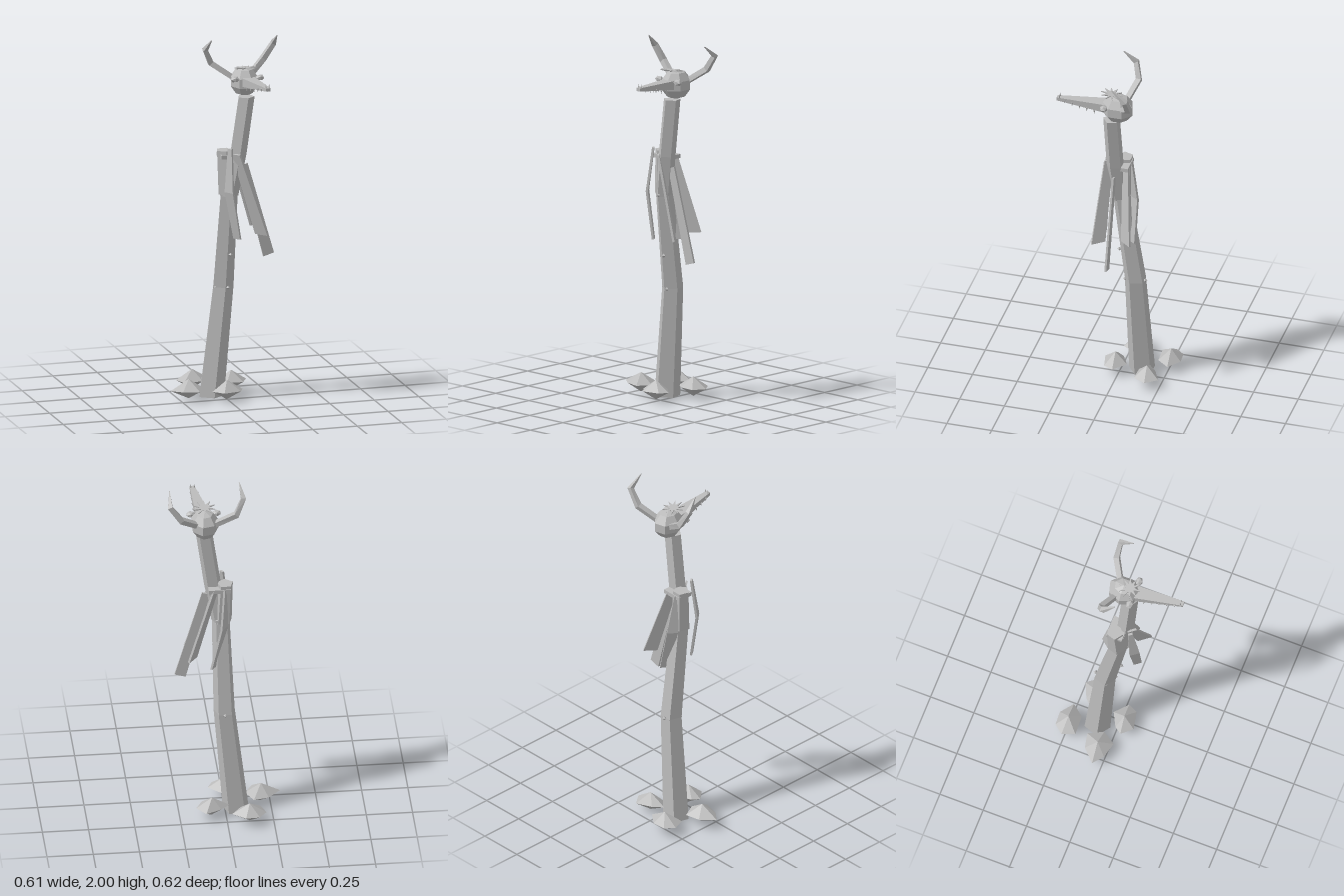
import * as THREE from 'three';

const V = (a) => new THREE.Vector3(...a);

// Closed faceted solid through rings of equal point count
function loft(rings) {
  const n = rings[0].length, tris = [];
  const centre = (r) => r.reduce((s, p) => s.add(p), new THREE.Vector3()).divideScalar(n);
  const first = rings[0], last = rings[rings.length - 1];
  const c0 = centre(first), c1 = centre(last);
  for (let j = 0; j < n; j++) {
    const k = (j + 1) % n;
    tris.push([c0, first[j], first[k]], [c1, last[k], last[j]]);
    for (let i = 0; i < rings.length - 1; i++) {
      const a = rings[i], b = rings[i + 1];
      tris.push([a[j], b[j], b[k]], [a[j], b[k], a[k]]);
    }
  }
  // Make every solid face outward
  let volume = 0;
  const x = new THREE.Vector3();
  for (const [a, b, c] of tris) volume += a.clone().sub(c0).dot(x.crossVectors(b.clone().sub(c0), c.clone().sub(c0)));
  const pts = [];
  for (const [a, b, c] of tris) pts.push(...(volume < 0 ? [a, c, b] : [a, b, c]));
  const g = new THREE.BufferGeometry().setFromPoints(pts);
  g.computeVertexNormals();
  return g;
}

// Five-sided post: sections are [x, y, z, radius], one edge to the front
const post = (sections) => loft(sections.map(([x, y, z, r]) =>
  Array.from({ length: 5 }, (_, i) => {
    const a = i * Math.PI * 2 / 5;
    return V([x + r * Math.sin(a), y, z + r * Math.cos(a)]);
  })));

// Flat board along a path; side is the direction of its width
function board(path, side, widths, thick) {
  const s = V(side).normalize();
  const along = V(path[path.length - 1]).sub(V(path[0]));
  const n = along.cross(s).normalize().multiplyScalar(thick / 2);
  return loft(path.map((p, i) => [[-1, -1], [1, -1], [1, 1], [-1, 1]].map(([u, v]) =>
    V(p).addScaledVector(s, u * widths[i] / 2).addScaledVector(n, v))));
}

// Square-section horn; radii follow the path
function horn(path, radii) {
  const p = path.map(V);
  return loft(p.map((c, i) => {
    const t = p[Math.min(i + 1, p.length - 1)].clone().sub(p[Math.max(i - 1, 0)]).normalize();
    const u = new THREE.Vector3(0, 0, 1).cross(t).normalize(), w = t.clone().cross(u);
    return [[1, 1], [-1, 1], [-1, -1], [1, -1]].map(([a, b]) =>
      c.clone().addScaledVector(u, a * radii[i]).addScaledVector(w, b * radii[i]));
  }));
}

export function createModel() {
  const group = new THREE.Group();
  const stone = new THREE.MeshStandardMaterial({ color: 0xbbbbbb, flatShading: true, side: THREE.DoubleSide });
  stone.name = 'stone grey';
  const add = (name, geometry, pos = [0, 0, 0]) => {
    const m = new THREE.Mesh(geometry, stone);
    m.name = name;
    m.position.set(...pos);
    group.add(m);
    return m;
  };

  // Trunk, its short side stub and the neck
  add('trunk', post([[-0.06, 0, -0.11, 0.073], [0.0, 0.61, -0.09, 0.06], [0.012, 1.16, -0.015, 0.05]]));
  add('trunkStub', post([[0.0, 1.14, -0.02, 0.05], [-0.01, 1.38, -0.03, 0.045]]));
  add('neck', post([[0.015, 1.13, -0.01, 0.048], [0.055, 1.36, 0.008, 0.048], [0.1, 1.68, 0.015, 0.047]]));
  add('collar', new THREE.BoxGeometry(0.12, 0.022, 0.09), [0.022, 1.35, -0.025]);

  // Crystals round the foot: six-cornered double pyramids, [apex, corners] in x, z
  const crystals = [
    [[-0.12, -0.255], [[-0.21, -0.26], [-0.17, -0.31], [-0.095, -0.314], [-0.025, -0.26], [-0.077, -0.195], [-0.184, -0.19]]],
    [[0.075, -0.175], [[-0.02, -0.165], [0.03, -0.21], [0.113, -0.248], [0.162, -0.184], [0.125, -0.116], [0.035, -0.12]]],
    [[-0.2, -0.055], [[-0.305, -0.046], [-0.237, -0.114], [-0.155, -0.132], [-0.114, -0.05], [-0.16, 0.022], [-0.248, 0]]],
    [[-0.01, 0.025], [[-0.093, 0.034], [-0.066, -0.005], [0.01, -0.045], [0.08, 0.018], [0.055, 0.07], [-0.043, 0.091]]],
  ];
  for (const [[ax, az], corners] of crystals) {
    add('footCrystal', loft([
      corners.map(() => V([ax, 0.115, az])),
      corners.map(([x, z]) => V([x, 0.057, z])),
      corners.map(() => V([ax, 0.008, az])),
    ]));
  }

  // Hanging blades and boards
  add('frontBlade', board([[0, 1.405, 0.055], [-0.015, 1.17, 0.085], [0.03, 0.91, 0.085]], [0.6, 0, 0.8], [0.025, 0.055, 0.045], 0.012));
  add('backBlade', board([[-0.01, 1.36, -0.06], [0, 1.13, -0.085], [0.06, 0.885, -0.09]], [0.6, 0, -0.8], [0.03, 0.06, 0.045], 0.012));
  add('frontBoard', board([[0.035, 1.37, 0.05], [0.172, 0.92, 0.07]], [0.6, 0, 0.75], [0.05, 0.08], 0.012));
  add('backBoard', board([[0.045, 1.35, -0.05], [0.172, 0.94, -0.085]], [0.6, 0, -0.75], [0.05, 0.075], 0.012));
  add('sideBoard', board([[0.09, 1.3, 0.005], [0.23, 0.79, 0.005]], [1, 0.3, 0], [0.045, 0.062], 0.011));

  // Small thorns on the trunk
  for (const [x, y, z] of [[-0.045, 0.61, -0.07], [0.015, 0.61, -0.035], [0.0, 0.61, -0.145], [0.02, 1.14, 0.035], [0.035, 1.14, -0.05], [0.02, 0.8, -0.005]]) {
    add('thorn', new THREE.OctahedronGeometry(0.012), [x, y, z]);
  }

  // Faceted head
  const head = add('head', new THREE.SphereGeometry(1, 7, 5), [0.1, 1.758, -0.02]);
  head.scale.set(0.078, 0.082, 0.092);

  // Tapered snout
  const section = (xl, xr, yb, yt, z) => [V([xl, yb, z]), V([xr, yb, z]), V([xr, yt, z]), V([xl, yt, z])];
  add('snout', loft([
    section(0.065, 0.142, 1.74, 1.79, 0.03),
    section(0.122, 0.148, 1.777, 1.795, 0.31),
  ]));

  // Teeth along both sides of the snout, and nostril spikes
  for (let i = 0; i < 5; i++) {
    const t = i / 4, z = 0.1 + 0.165 * t, y = 1.738 + 0.035 * t;
    for (const x of [0.08 + 0.03 * t, 0.144 + 0.002 * t]) {
      add('tooth', new THREE.ConeGeometry(0.006, 0.022, 4).rotateX(Math.PI), [x, y, z]);
    }
  }
  for (const x of [0.125, 0.144]) add('nostrilSpike', new THREE.ConeGeometry(0.006, 0.024, 4), [x, 1.803, 0.295]);

  // Eyes on the sides of the head
  for (const side of [-1, 1]) {
    const eye = add('eye', new THREE.IcosahedronGeometry(1, 0), [0.1 + side * 0.07, 1.785, 0.04]);
    eye.scale.set(0.026, 0.018, 0.022);
  }

  // Horns
  const radii = [0.014, 0.015, 0.013, 0.002];
  add('leftHorn', horn([[0.13, 1.765, -0.05], [0.235, 1.845, -0.115], [0.295, 1.93, -0.115], [0.292, 1.99, -0.04]], radii));
  add('rightHorn', horn([[0.05, 1.77, -0.05], [-0.065, 1.85, -0.09], [-0.105, 1.935, -0.065], [-0.088, 2, 0]], radii));

  // Star-shaped crest lying on top of the head
  const star = new THREE.Shape(Array.from({ length: 20 }, (_, i) => {
    const r = i % 2 ? 0.024 : 0.06, a = i * Math.PI / 10;
    return new THREE.Vector2(r * Math.sin(a), r * Math.cos(a));
  }));
  const crest = add('crest', new THREE.ExtrudeGeometry(star, { depth: 0.006, bevelEnabled: false }), [0.098, 1.836, 0.015]);
  crest.rotation.x = -Math.PI / 2 - 0.12;

  return group;
}
